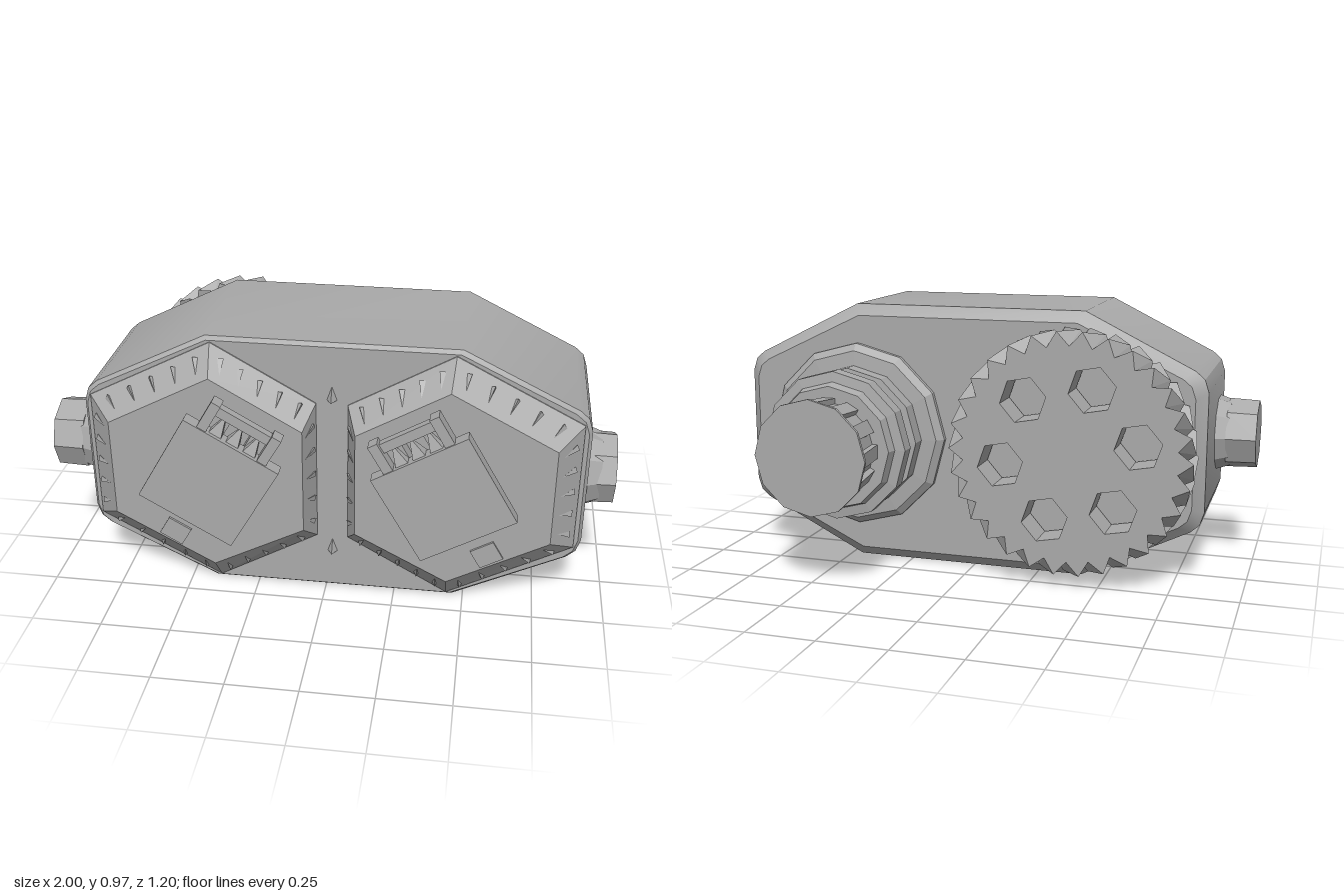
import * as THREE from 'three';
import { toCreasedNormals } from 'three/addons/utils/BufferGeometryUtils.js';

const MID_X = 0.025, MID_Y = 0.495;
const metal = new THREE.MeshStandardMaterial({ color: 0xaaaaaa });
metal.name = 'grey metal';

function add(parent, name, geometry, x = 0, y = 0, z = 0) {
  const mesh = new THREE.Mesh(geometry, metal);
  mesh.name = name;
  mesh.position.set(x, y, z);
  parent.add(mesh);
  return mesh;
}

function flat(geometry) {
  const g = geometry.index ? geometry.toNonIndexed() : geometry;
  g.computeVertexNormals();
  return g;
}

// Skin convex outlines stacked along z (back to front), with flat end caps
function loft(sections) {
  const pos = [];
  const rings = sections.map(([pts, z]) => {
    const ccw = THREE.ShapeUtils.area(pts.map(([x, y]) => ({ x, y }))) > 0;
    return (ccw ? pts : [...pts].reverse()).map(([x, y]) => [x, y, z]);
  });
  const tri = (a, b, c) => pos.push(...a, ...b, ...c);
  const n = rings[0].length;
  for (let r = 0; r < rings.length - 1; r++) {
    for (let i = 0; i < n; i++) {
      const j = (i + 1) % n, a = rings[r], b = rings[r + 1];
      tri(a[i], a[j], b[j]);
      tri(a[i], b[j], b[i]);
    }
  }
  const back = rings[0], front = rings[rings.length - 1];
  for (let i = 1; i < n - 1; i++) {
    tri(back[0], back[i + 1], back[i]);
    tri(front[0], front[i], front[i + 1]);
  }
  const g = new THREE.BufferGeometry();
  g.setAttribute('position', new THREE.Float32BufferAttribute(pos, 3));
  g.computeVertexNormals();
  return g;
}

// Long octagonal casing with softened side corners
function casing() {
  const corner = [[0.435, 0.487], [0.83, 0.29], [0.862, 0.262], [0.877, 0.215]];
  const quarter = (sx, sy) => corner.map(([x, y]) => [x * sx, y * sy]);
  const outline = [...quarter(1, 1), ...quarter(1, -1).reverse(), ...quarter(-1, -1), ...quarter(-1, 1).reverse()];
  const at = (inset) => outline.map(([x, y]) =>
    [MID_X + x * (1 - inset / 0.877), MID_Y + y * (1 - inset / 0.487)]);
  return toCreasedNormals(loft([[at(0.04), -0.16], [at(0), -0.12], [at(0), 0.395], [at(0.012), 0.41]]), 0.5);
}

// Hexagonal raised cover with a latch plate; side is +1 or -1
function cover(side) {
  const group = new THREE.Group();
  group.name = side > 0 ? 'leftCover' : 'rightCover';
  const X = (d) => MID_X + side * d;
  const outer = [[0.055, 0.76], [0.415, 0.965], [0.85, 0.74], [0.85, 0.26], [0.415, 0.025], [0.055, 0.23]];
  const inner = [[0.09, 0.69], [0.405, 0.87], [0.765, 0.68], [0.765, 0.32], [0.415, 0.13], [0.09, 0.30]];
  const place = (pts) => pts.map(([x, y]) => [X(x), y]);
  add(group, 'coverLid', loft([[place(outer), 0.40], [place(outer), 0.415], [place(inner), 0.50]]));

  // Small pointed studs around the sloping edge
  const up = new THREE.Vector3(0, 1, 0);
  for (let i = 0; i < 6; i++) {
    const j = (i + 1) % 6;
    for (let k = 0; k < 5; k++) {
      const t = (k + 0.6) / 5.2;
      const lerp = (p, z) => new THREE.Vector3(
        X(p[i][0] + (p[j][0] - p[i][0]) * t), p[i][1] + (p[j][1] - p[i][1]) * t, z);
      const a = lerp(outer, 0.415), b = lerp(inner, 0.5);
      const stud = add(group, 'edgeStud', flat(new THREE.ConeGeometry(0.013, 0.06, 3)));
      stud.position.copy(a).lerp(b, 0.5);
      stud.quaternion.setFromUnitVectors(up, b.sub(a).normalize());
    }
  }

  // Latch, turned in the plane of the lid
  const latch = new THREE.Group();
  latch.name = 'latch';
  latch.position.set(X(0.40), 0.52, 0);
  latch.rotation.z = side * Math.PI / 6;
  group.add(latch);
  add(latch, 'latchPlate', new THREE.BoxGeometry(0.365, 0.35, 0.05), 0, 0, 0.573);
  for (const u of [-1, 1]) {
    add(latch, 'latchStub', new THREE.BoxGeometry(0.06, 0.11, 0.06), u * 0.07, 0.19, 0.52);
    add(latch, 'latchArm', new THREE.BoxGeometry(0.035, 0.12, 0.05), u * 0.115, 0.225, 0.568);
  }
  add(latch, 'hingePin', new THREE.BoxGeometry(0.23, 0.035, 0.03), 0, 0.255, 0.562);
  for (let i = -1; i <= 1; i++) {
    const tooth = add(latch, 'hingeTooth', flat(new THREE.ConeGeometry(0.035, 0.08, 4)), i * 0.065, 0.21, 0.56);
    tooth.rotation.y = Math.PI / 4;
  }
  const pad = add(group, 'lidPad', new THREE.BoxGeometry(0.09, 0.075, 0.012), X(0.552), 0.26, 0.502);
  pad.rotation.z = side * Math.PI / 6;
  return group;
}

// Hex-style bolt on each end of the casing
function sideBolt(side) {
  const group = new THREE.Group();
  group.name = side > 0 ? 'leftBolt' : 'rightBolt';
  group.position.set(MID_X + side * 0.865, 0.5, 0.25);
  group.rotation.z = -side * Math.PI / 2;
  add(group, 'boltCollar', flat(new THREE.CylinderGeometry(0.125, 0.146, 0.06, 10)), 0, 0.03, 0);
  add(group, 'boltHead', flat(new THREE.CylinderGeometry(0.128, 0.132, 0.11, 8)), 0, 0.055 + (side > 0 ? 0 : 0.05), 0);
  if (side > 0) group.children[1].position.y = 0.055;
  return group;
}

// Herringbone gear with six hexagonal windows
function gear() {
  const teeth = 30, depth = 0.125, shape = new THREE.Shape();
  for (let i = 0; i < teeth * 2; i++) {
    const a = i * Math.PI / teeth, r = i % 2 ? 0.385 : 0.437;
    shape[i ? 'lineTo' : 'moveTo'](Math.cos(a) * r, Math.sin(a) * r);
  }
  shape.closePath();
  for (let h = 0; h < 6; h++) {
    const a = h * Math.PI / 3 - 0.19, hole = new THREE.Path();
    for (let k = 0; k < 6; k++) {
      const b = a - k * Math.PI / 3;
      hole[k ? 'lineTo' : 'moveTo'](Math.cos(a) * 0.25 + Math.cos(b) * 0.085, Math.sin(a) * 0.25 + Math.sin(b) * 0.085);
    }
    hole.closePath();
    shape.holes.push(hole);
  }
  const g = new THREE.ExtrudeGeometry(shape, { depth, steps: 2, bevelEnabled: false });
  const p = g.attributes.position;
  // Turn the middle layer of the teeth to make the chevrons
  for (let i = 0; i < p.count; i++) {
    const x = p.getX(i), y = p.getY(i);
    if (Math.hypot(x, y) < 0.37 || Math.abs(p.getZ(i) - depth / 2) > 0.01) continue;
    const c = Math.cos(0.16), s = Math.sin(0.16);
    p.setXY(i, x * c - y * s, x * s + y * c);
  }
  return flat(g);
}

// Stepped output shaft with a ribbed end
function outputShaft() {
  const group = new THREE.Group();
  group.name = 'outputShaft';
  group.position.set(0.445, MID_Y, 0);
  group.rotation.x = -Math.PI / 2;
  const profile = [[0.345, 0.15], [0.345, 0.178], [0.32, 0.2], [0.265, 0.205], [0.265, 0.265], [0.205, 0.27],
    [0.205, 0.335], [0.272, 0.335], [0.272, 0.39], [0.235, 0.395], [0.225, 0.43], [0.17, 0.43],
    [0.18, 0.585], [0.208, 0.59], [0.208, 0.602], [0, 0.602]];
  add(group, 'shaftSteps', flat(new THREE.LatheGeometry(profile.map(([r, y]) => new THREE.Vector2(r, y)), 12)));
  for (let i = 0; i < 12; i++) {
    const pivot = new THREE.Group();
    pivot.name = 'shaftRib';
    pivot.rotation.y = i * Math.PI / 6;
    group.add(pivot);
    add(pivot, 'rib', new THREE.BoxGeometry(0.05, 0.16, 0.03), 0, 0.51, 0.175).rotation.x = 0.09;
  }
  return group;
}

export function createModel() {
  const model = new THREE.Group();
  model.name = 'gearbox';
  add(model, 'casing', casing());
  for (const side of [1, -1]) model.add(cover(side), sideBolt(side));
  // Small studs on the front web and the slopes of the casing
  for (const y of [0.19, 0.8]) add(model, 'webStud', flat(new THREE.ConeGeometry(0.03, 0.05, 3)), MID_X, y, 0.41);
  const hub = add(model, 'gearHub', flat(new THREE.CylinderGeometry(0.12, 0.12, 0.06, 12)), -0.395, MID_Y, -0.17);
  hub.rotation.x = Math.PI / 2;
  add(model, 'gear', gear(), -0.395, MID_Y, -0.3);
  model.add(outputShaft());
  return model;
}
